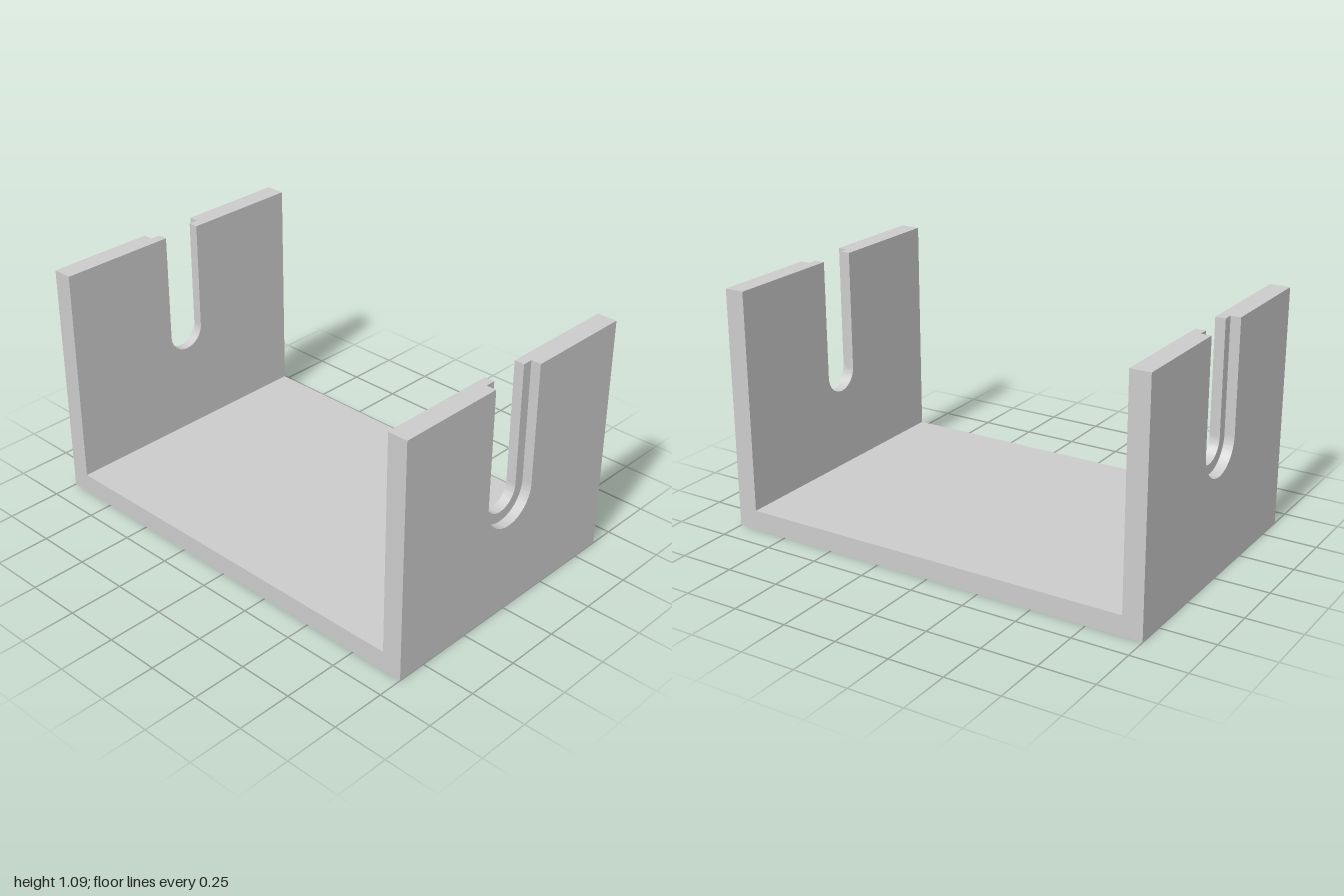
import * as THREE from 'three';
import { toCreasedNormals } from 'three/addons/utils/BufferGeometryUtils.js';

const U = 1 / 11;              // wall thickness, the unit all sizes are based on
const HALF_DEPTH = 7 * U;
const HEIGHT = 12 * U;

// Side plate with a round-bottomed slot open at the top, spanning x0..x1
function slottedPlate(slotRadius, slotCentre, x0, x1) {
  const s = new THREE.Shape();
  s.moveTo(-HALF_DEPTH, 0);
  s.lineTo(HALF_DEPTH, 0);
  s.lineTo(HALF_DEPTH, HEIGHT);
  s.lineTo(slotRadius, HEIGHT);
  s.lineTo(slotRadius, slotCentre);
  s.absarc(0, slotCentre, slotRadius, 0, -Math.PI, true);
  s.lineTo(-slotRadius, HEIGHT);
  s.lineTo(-HALF_DEPTH, HEIGHT);
  s.closePath();
  const geo = new THREE.ExtrudeGeometry(s, { depth: x1 - x0, bevelEnabled: false, curveSegments: 32 });
  geo.rotateY(Math.PI / 2);
  geo.translate(x0, 0, 0);
  return toCreasedNormals(geo, 0.5);
}

export function createModel() {
  const group = new THREE.Group();
  group.name = 'slottedBracket';
  const material = new THREE.MeshStandardMaterial({ color: 0xcccccc });
  const add = (parent, name, geometry) => {
    const mesh = new THREE.Mesh(geometry, material);
    mesh.name = name;
    parent.add(mesh);
  };

  // Floor between the walls
  const floor = new THREE.BoxGeometry(2 - 2 * U, U, 2 * HALF_DEPTH);
  floor.translate(0, U / 2, 0);
  add(group, 'floor', floor);

  // Walls: narrow slot on the inner half, wide recess on the outer half;
  // the slot sits half a unit lower on the left wall
  for (const [side, name, centre] of [[1, 'leftWall', 6 * U], [-1, 'rightWall', 6.5 * U]]) {
    const wall = new THREE.Group();
    wall.name = name;
    const layer = (radius, a, b) =>
      slottedPlate(radius, centre, Math.min(side * a, side * b), Math.max(side * a, side * b));
    add(wall, 'innerLayer', layer(U, 1 - U, 1 - U / 2));
    add(wall, 'outerLayer', layer(1.5 * U, 1 - U / 2, 1));
    group.add(wall);
  }
  return group;
}
